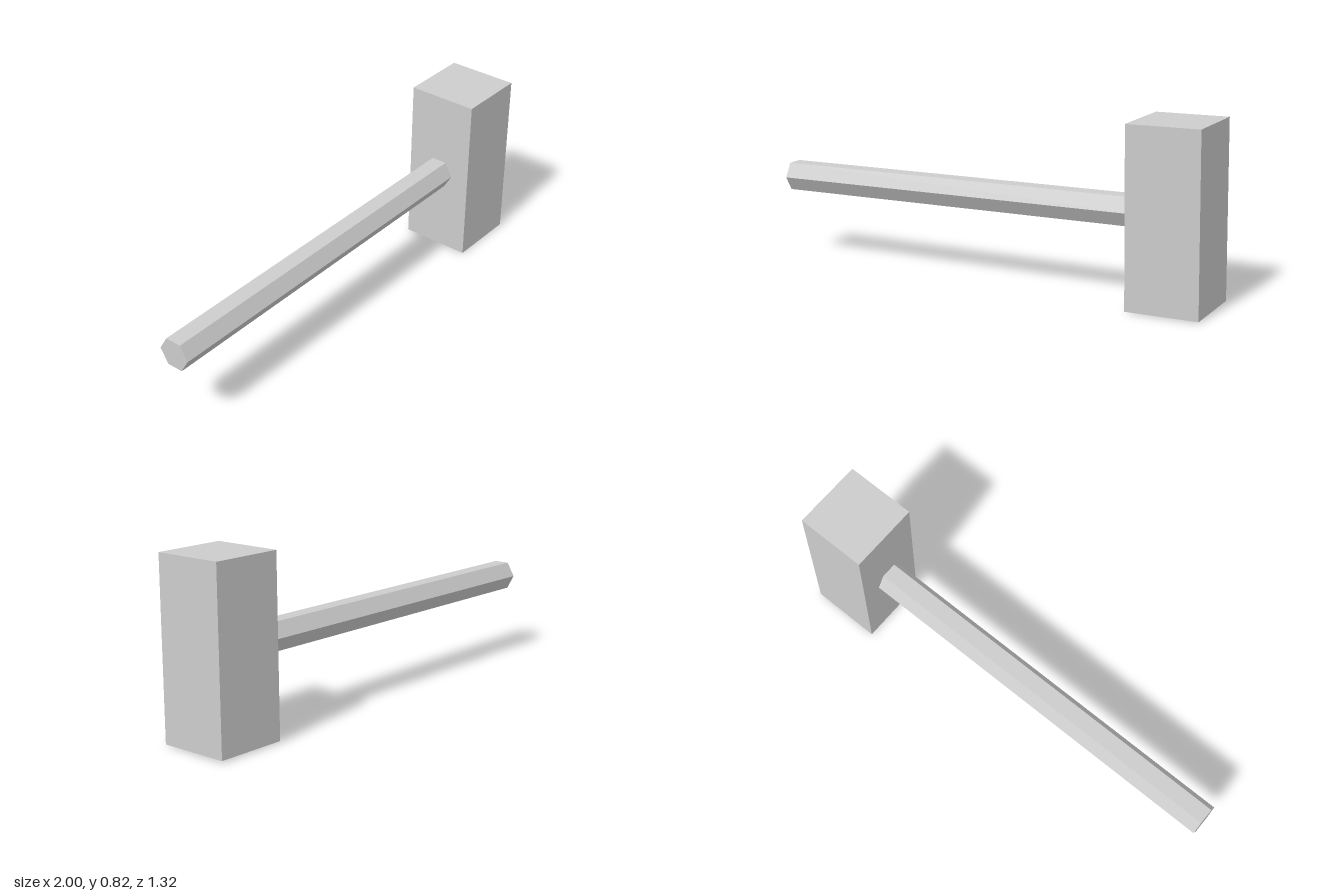
import * as THREE from 'three';

export function createModel() {
  const grey = new THREE.MeshStandardMaterial({ color: 0xcccccc, flatShading: true });
  grey.name = 'light grey';

  // Mallet, built around the centre of its head with the handle along -x
  const mallet = new THREE.Group();
  mallet.name = 'mallet';

  // Square block head
  const head = new THREE.Mesh(new THREE.BoxGeometry(0.337, 0.816, 0.337), grey);
  head.name = 'head';
  mallet.add(head);

  // Hexagonal handle, flat on top and bottom, sunk into the head
  const start = -2.006, end = -0.1;
  const geometry = new THREE.CylinderGeometry(0.076, 0.076, end - start, 6);
  geometry.rotateZ(Math.PI / 2);
  const handle = new THREE.Mesh(geometry, grey);
  handle.name = 'handle';
  handle.position.x = (start + end) / 2;
  mallet.add(handle);

  // Turned diagonally and tipped slightly forward
  mallet.rotation.set(0.0185, THREE.MathUtils.degToRad(30.4), 0);
  mallet.position.set(0.768, 0.412, -0.426);

  const model = new THREE.Group();
  model.name = 'model';
  model.add(mallet);
  return model;
}
